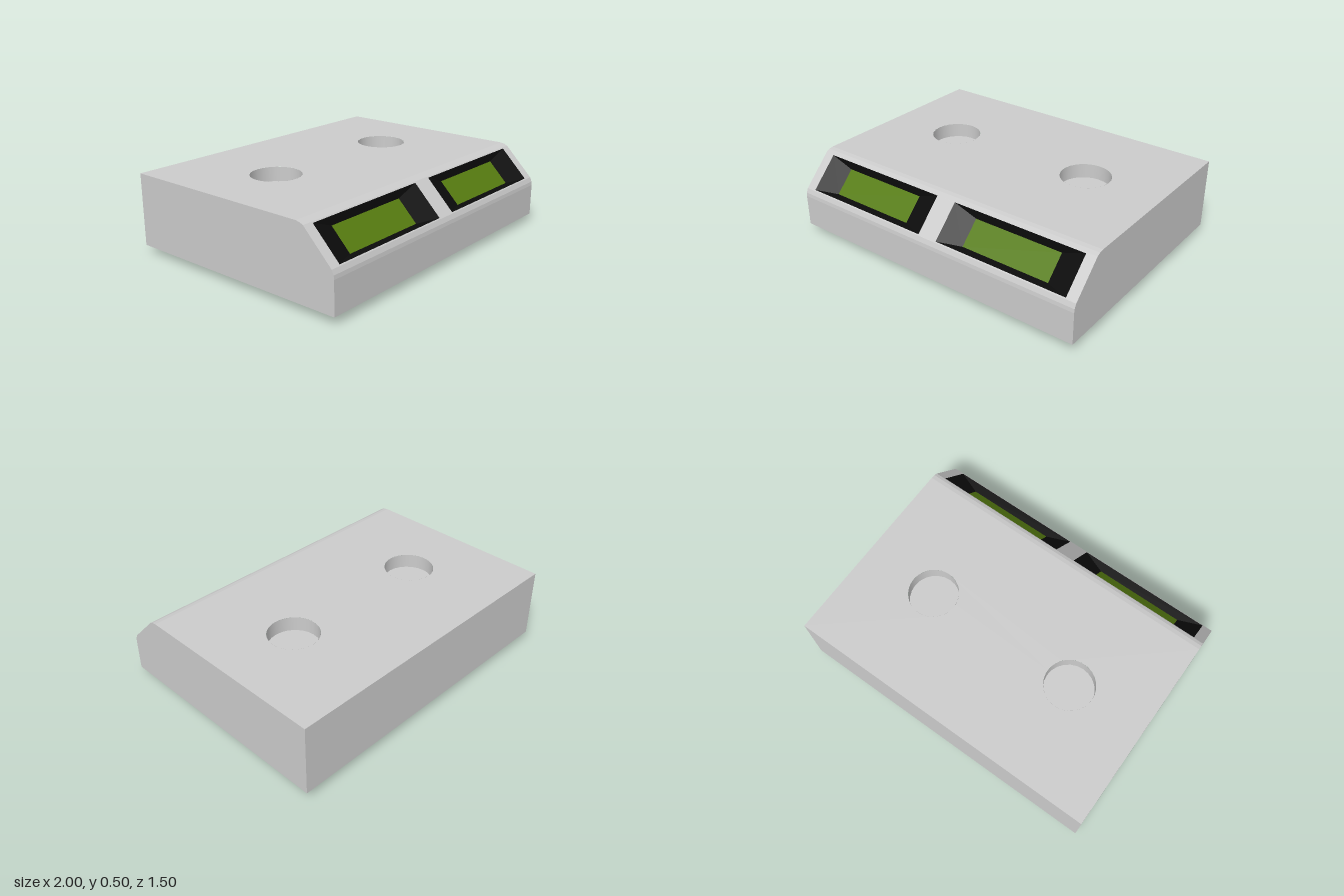
import * as THREE from 'three';
import { mergeGeometries } from 'three/addons/utils/BufferGeometryUtils.js';

// Side profile of the housing as [z, y], from the front bottom edge up and over
const PROFILE = [[0.75, 0.05], [0.75, 0.25], [0.747, 0.273], [0.735, 0.30], [0.55, 0.485],
  [0.528, 0.495], [0.5, 0.5], [-0.75, 0.5], [-0.75, 0.05]];
const SLOPE = 3, TOP = 6;
const SEG = 24;

const material = (color, side = THREE.FrontSide) =>
  new THREE.MeshStandardMaterial({ color, side, roughness: 0.8 });

function mesh(name, geometry, mat) {
  const m = new THREE.Mesh(geometry, mat);
  m.name = name;
  return m;
}

// Frame of one profile segment: x across, y along the segment, z outward
function segmentFrame(i) {
  const [z0, y0] = PROFILE[i];
  const [z1, y1] = PROFILE[(i + 1) % PROFILE.length];
  const along = new THREE.Vector3(0, y1 - y0, z1 - z0);
  const length = along.length();
  along.normalize();
  const across = new THREE.Vector3(1, 0, 0);
  const out = across.clone().cross(along);
  const matrix = new THREE.Matrix4().makeBasis(across, along, out).setPosition(0, y0, z0);
  return { matrix, length };
}

const rectPoints = (x0, y0, x1, y1) =>
  [[x0, y0], [x1, y0], [x1, y1], [x0, y1]].map(([x, y]) => new THREE.Vector2(x, y));

// Sloped wall from an outer rectangle down to a smaller, deeper one
function frameGeometry(outer, inner, depth) {
  const pos = [];
  for (let i = 0; i < 4; i++) {
    const j = (i + 1) % 4;
    const a = [outer[i].x, outer[i].y, 0], b = [outer[j].x, outer[j].y, 0];
    const c = [inner[j].x, inner[j].y, -depth], d = [inner[i].x, inner[i].y, -depth];
    pos.push(...a, ...b, ...c, ...a, ...c, ...d);
  }
  const g = new THREE.BufferGeometry();
  g.setAttribute('position', new THREE.Float32BufferAttribute(pos, 3));
  g.computeVertexNormals();
  return g;
}

export function createModel() {
  const model = new THREE.Group();
  model.name = 'twinDisplayUnit';
  const grey = material(0xcccccc);
  const greyInside = material(0xcccccc, THREE.DoubleSide);
  const black = material(0x0c0c0c);
  const green = material(0x567c10);

  const slope = segmentFrame(SLOPE);
  const middle = slope.length / 2;
  const windowRect = (c) => rectPoints(c - 0.435, 0.008, c + 0.435, slope.length - 0.008);
  const wellRadius = 0.155, wellDepth = 0.09, wellZ = -0.13;

  // Housing: one panel per profile segment, with openings, plus two side walls
  const panels = PROFILE.map((_, i) => {
    const { matrix, length } = segmentFrame(i);
    const shape = new THREE.Shape(rectPoints(-1, 0, 1, length));
    for (const c of [-0.5, 0.5]) {
      if (i === SLOPE) shape.holes.push(new THREE.Path(windowRect(c)));
      if (i === TOP) {
        shape.holes.push(new THREE.Path().absarc(c, PROFILE[TOP][0] - wellZ, wellRadius, 0, Math.PI * 2, true));
      }
    }
    return new THREE.ShapeGeometry(shape, SEG).applyMatrix4(matrix);
  });
  for (const s of [-1, 1]) {
    const outline = new THREE.Shape(PROFILE.map(([z, y]) => new THREE.Vector2(-s * z, y)));
    panels.push(new THREE.ShapeGeometry(outline).rotateY(s * Math.PI / 2).translate(s, 0, 0));
  }
  model.add(mesh('housing', mergeGeometries(panels), grey));

  // Recessed displays in the sloped face
  for (const c of [-0.5, 0.5]) {
    const display = new THREE.Group();
    display.name = c < 0 ? 'rightDisplay' : 'leftDisplay';
    const half = 0.087, depth = 0.045;
    const screenRect = rectPoints(c - 0.287, middle - half, c + 0.287, middle + half);
    display.add(mesh('displayFrame', frameGeometry(windowRect(c), screenRect, depth), black));
    const screen = new THREE.ShapeGeometry(new THREE.Shape(screenRect)).translate(0, 0, -depth);
    display.add(mesh('displayScreen', screen, green));
    display.applyMatrix4(slope.matrix);
    model.add(display);
  }

  // Round wells in the top
  for (const c of [-0.5, 0.5]) {
    const well = new THREE.Group();
    well.name = c < 0 ? 'rightWell' : 'leftWell';
    const wall = new THREE.CylinderGeometry(wellRadius, wellRadius, wellDepth, SEG, 1, true);
    well.add(mesh('wellWall', wall.translate(0, -wellDepth / 2, 0), greyInside));
    const floor = new THREE.CircleGeometry(wellRadius, SEG).rotateX(-Math.PI / 2);
    well.add(mesh('wellFloor', floor.translate(0, -wellDepth, 0), grey));
    well.position.set(c, 0.5, wellZ);
    model.add(well);
  }

  // Four rubber feet with a rounded lower edge
  const footProfile = [[0, 0], [0.112, 0], [0.123, 0.004], [0.13, 0.012], [0.132, 0.022], [0.132, 0.05]]
    .map(([r, y]) => new THREE.Vector2(r, y));
  const footGeometry = new THREE.LatheGeometry(footProfile, SEG);
  for (const x of [-0.767, 0.767]) {
    for (const z of [-0.5, 0.5]) {
      const foot = mesh('foot', footGeometry, black);
      foot.position.set(x, 0, z);
      model.add(foot);
    }
  }
  return model;
}
